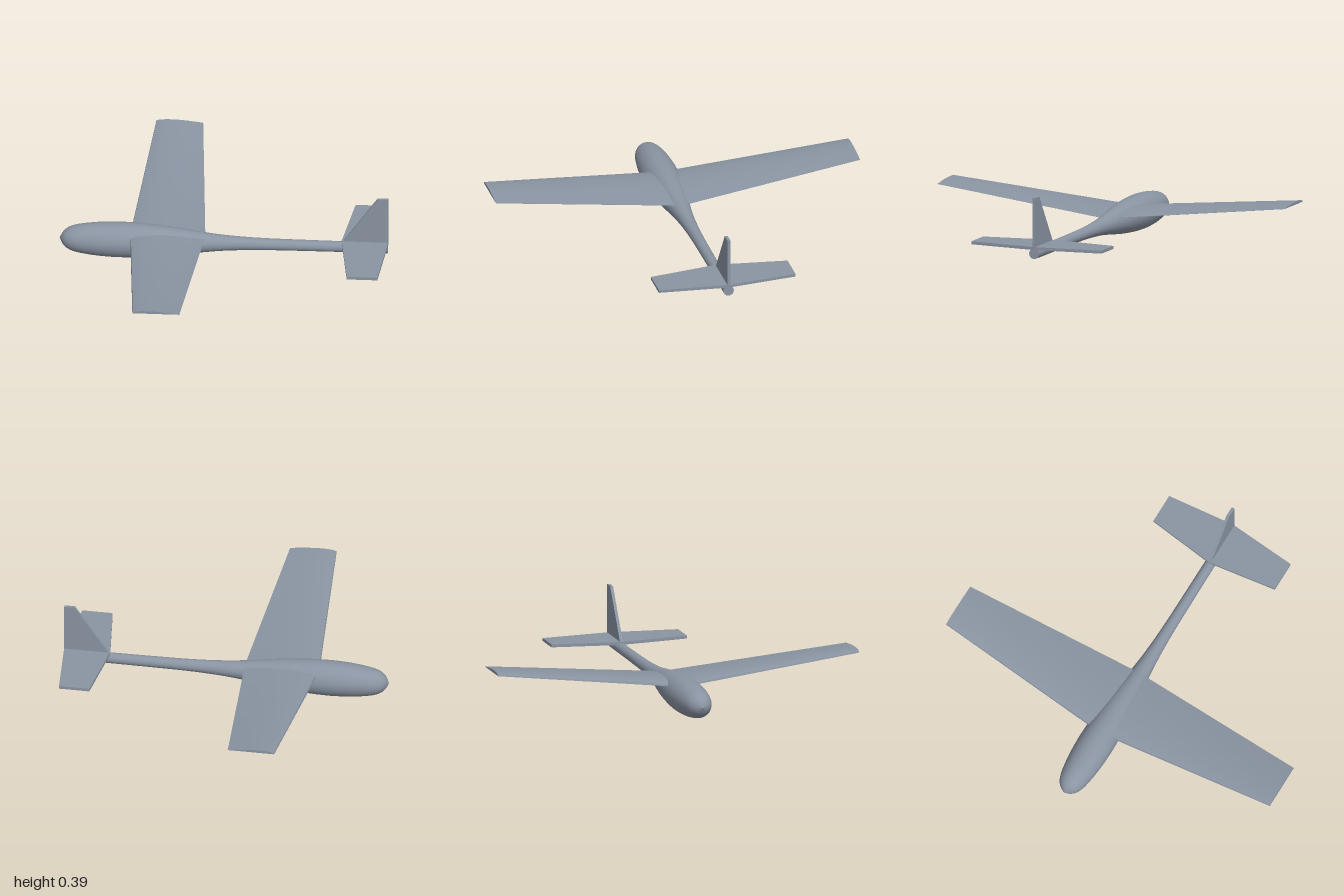
import * as THREE from 'three';
import { toCreasedNormals } from 'three/addons/utils/BufferGeometryUtils.js';

const AXIS_Y = 0.096; // height of the fuselage centre line

// Flat plate cut from an outline of [x, y] points
function plate(points, thickness) {
  const shape = new THREE.Shape(points.map(([x, y]) => new THREE.Vector2(x, y)));
  return new THREE.ExtrudeGeometry(shape, { depth: thickness, bevelEnabled: false });
}

// Skin over matching cross-sections ordered from -z to +z, with closed tips
function loft(sections) {
  const pos = [];
  const tri = (...pts) => pts.forEach((p) => pos.push(...p));
  const n = sections[0].length;
  for (let s = 0; s < sections.length - 1; s++) {
    const a = sections[s], b = sections[s + 1];
    for (let i = 0; i < n; i++) {
      const j = (i + 1) % n;
      tri(b[i], b[j], a[j]);
      tri(b[i], a[j], a[i]);
    }
  }
  const first = sections[0], last = sections[sections.length - 1];
  for (let k = 1; k < n - 1; k++) {
    tri(first[0], first[k], first[k + 1]);
    tri(last[0], last[k + 1], last[k]);
  }
  const geo = new THREE.BufferGeometry();
  geo.setAttribute('position', new THREE.Float32BufferAttribute(pos, 3));
  return toCreasedNormals(geo, 0.5);
}

// Flat-bottomed airfoil: [chord fraction, height fraction], leading to trailing edge
const AIRFOIL = [[0, 0], [0.01, 0.028], [0.08, 0.047], [0.2, 0.059], [0.35, 0.062],
  [0.5, 0.056], [0.65, 0.044], [0.82, 0.024], [1, 0.003], [1, 0]];

function wingSection(lead, trail, y, z) {
  const chord = trail - lead;
  return AIRFOIL.map(([t, h]) => [lead + t * chord, y + h * chord, z]);
}

export function createModel() {
  const model = new THREE.Group();
  model.name = 'glider';
  const grey = new THREE.MeshStandardMaterial({ color: 0x8a94a2 });
  grey.name = 'blue grey';

  const add = (name, geometry) => {
    const mesh = new THREE.Mesh(geometry, grey);
    mesh.name = name;
    model.add(mesh);
    return mesh;
  };

  // Fuselage: teardrop pod flowing into a slim boom
  const profile = new THREE.SplineCurve([
    [0, -0.875], [0.042, -0.85], [0.07, -0.8], [0.087, -0.7], [0.094, -0.6], [0.0945, -0.52],
    [0.09, -0.42], [0.077, -0.28], [0.053, -0.1], [0.041, 0.02], [0.033, 0.18],
    [0.03, 0.4], [0.028, 0.87],
  ].map(([r, x]) => new THREE.Vector2(r, x))).getPoints(60);
  profile[0].x = 0;
  const body = new THREE.LatheGeometry(profile, 40);
  body.rotateZ(-Math.PI / 2);
  add('fuselage', body).position.y = AXIS_Y;

  // Flat end of the boom
  const cap = new THREE.CircleGeometry(0.028, 40);
  cap.rotateY(Math.PI / 2);
  add('boomEnd', cap).position.set(0.87, AXIS_Y, 0);

  // Tapered wing with dihedral
  add('wing', loft([
    wingSection(-0.425, -0.175, 0.237, -1),
    wingSection(-0.5, -0.1, 0.13, 0),
    wingSection(-0.425, -0.175, 0.237, 1),
  ]));

  // Tailplane
  const tailplane = plate([
    [0.625, 0], [0.675, -0.375], [0.838, -0.375], [0.873, 0], [0.838, 0.375], [0.675, 0.375],
  ], 0.016);
  tailplane.rotateX(Math.PI / 2);
  add('tailplane', tailplane).position.y = 0.133;

  // Upright fin
  const fin = plate([[0.627, 0.12], [0.872, 0.12], [0.872, 0.396], [0.816, 0.396]], 0.016);
  add('fin', fin).position.z = -0.008;

  return model;
}
